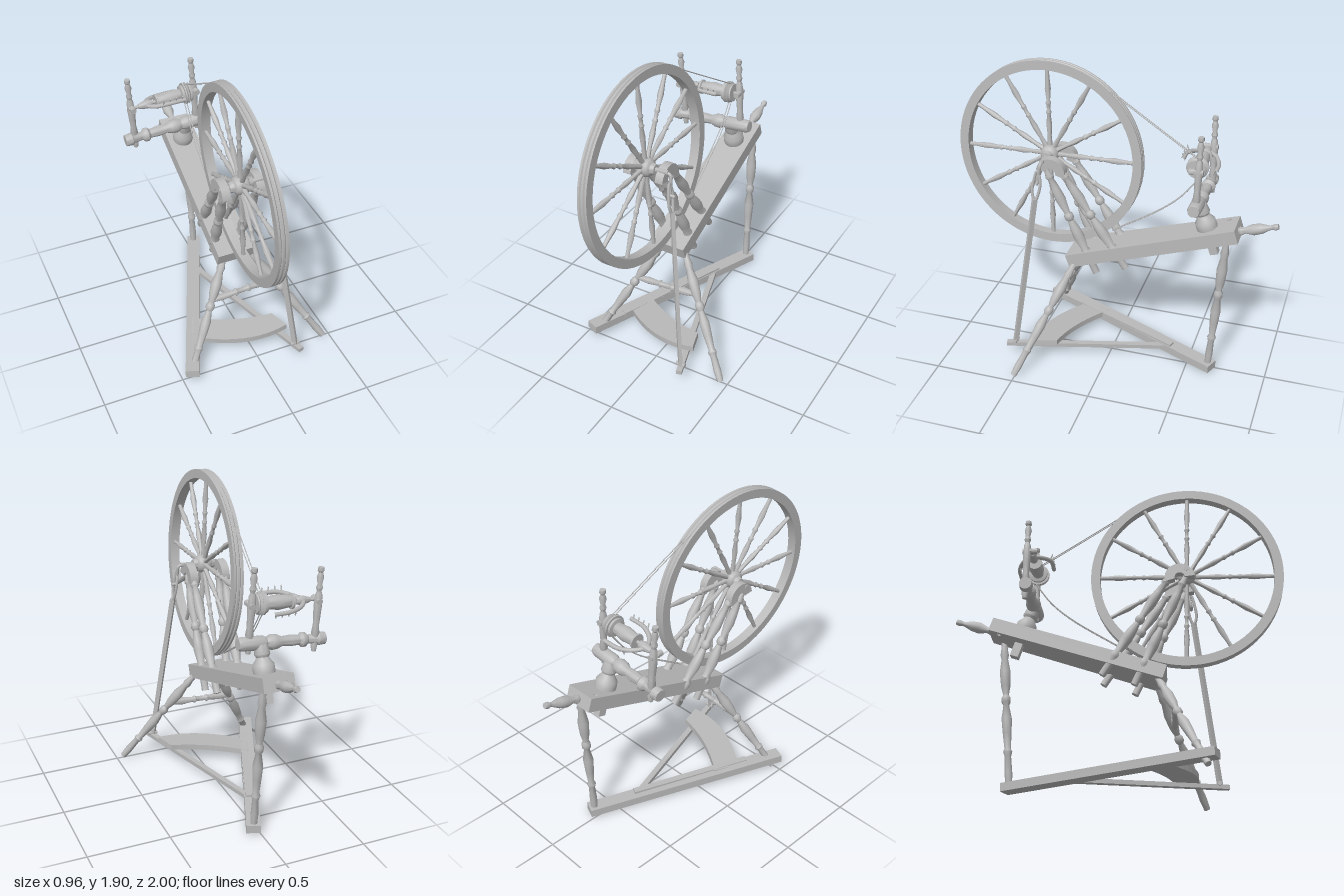
import * as THREE from 'three';
import { toCreasedNormals } from 'three/addons/utils/BufferGeometryUtils.js';

const wood = new THREE.MeshStandardMaterial({ color: 0xb9b9b9 });
wood.name = 'pale grey wood';
const V = (x, y, z) => new THREE.Vector3(x, y, z);
const UP = V(0, 1, 0);

// Turned profiles: [position along the length 0..1, radius]
const LEG = [[0, 0.018], [0.08, 0.02], [0.12, 0.026], [0.15, 0.02], [0.24, 0.033], [0.34, 0.028], [0.4, 0.017], [0.42, 0.027],
  [0.45, 0.027], [0.47, 0.017], [0.56, 0.031], [0.66, 0.026], [0.76, 0.019], [0.78, 0.027], [0.81, 0.019], [0.92, 0.023], [1, 0.019]];
const STRUT = [[0, 0.022], [0.12, 0.022], [0.17, 0.033], [0.2, 0.033], [0.23, 0.022], [0.34, 0.034], [0.42, 0.03], [0.5, 0.018],
  [0.52, 0.028], [0.55, 0.028], [0.57, 0.018], [0.7, 0.032], [0.8, 0.026], [0.88, 0.018], [0.9, 0.026], [0.94, 0.018], [1, 0.018]];
const SPOKE = [[0, 0.016], [0.15, 0.012], [0.3, 0.017], [0.42, 0.011], [0.45, 0.017], [0.48, 0.011], [0.54, 0.011],
  [0.57, 0.017], [0.6, 0.011], [0.75, 0.018], [0.9, 0.012], [1, 0.012]];
const MAIDEN = [[0, 0.014], [0.08, 0.02], [0.14, 0.012], [0.22, 0.024], [0.32, 0.018], [0.42, 0.021], [0.55, 0.024], [0.68, 0.02],
  [0.72, 0.013], [0.76, 0.02], [0.8, 0.013], [0.88, 0.021], [0.94, 0.012], [0.96, 0.019], [1, 0.017]];
const HANDLE = [[0, 0.016], [0.1, 0.026], [0.2, 0.018], [0.4, 0.034], [0.6, 0.03], [0.8, 0.014], [0.86, 0.014], [0.92, 0.02], [1, 0.016]];
const STRETCHER = [[0, 0.014], [0.2, 0.022], [0.36, 0.016], [0.4, 0.024], [0.43, 0.016], [0.57, 0.016], [0.6, 0.024], [0.64, 0.016], [0.8, 0.024], [1, 0.014]];
const CROSSBAR = [[0, 0.036], [0.08, 0.04], [0.1, 0.03], [0.2, 0.026], [0.23, 0.042], [0.27, 0.044], [0.3, 0.028], [0.4, 0.033], [0.5, 0.028],
  [0.56, 0.042], [0.62, 0.045], [0.68, 0.032], [0.72, 0.042], [0.96, 0.04], [1, 0.034]];
const PEDESTAL = [[0, 0.058], [0.2, 0.064], [0.4, 0.062], [0.55, 0.042], [0.62, 0.036], [0.7, 0.046], [1, 0.038]];

export function createModel() {
  const model = new THREE.Group();
  const add = (name, geo, parent = model) => {
    const m = new THREE.Mesh(geo, wood);
    m.name = name;
    parent.add(m);
    return m;
  };
  // Lathe part running from a to b
  const turned = (name, a, b, profile, parent = model, sides = 16) => {
    const len = a.distanceTo(b);
    const pts = [[0, 0], ...profile, [1, 0]].map(([t, r]) => new THREE.Vector2(r, t * len));
    const m = add(name, toCreasedNormals(new THREE.LatheGeometry(pts, sides), 0.75), parent);
    m.position.copy(a);
    m.quaternion.setFromUnitVectors(UP, b.clone().sub(a).normalize());
    return m;
  };
  const rod = (name, a, b, r, parent) => turned(name, a, b, [[0, r], [1, r]], parent, 12);
  // Rectangular bar running from a to b
  const bar = (name, a, b, w, h) => {
    const m = add(name, new THREE.BoxGeometry(w, h, a.distanceTo(b)));
    m.position.copy(a).lerp(b, 0.5);
    m.lookAt(b);
    return m;
  };
  const tube = (name, pts, r, closed = false, segs = 32) =>
    add(name, new THREE.TubeGeometry(new THREE.CatmullRomCurve3(pts, closed), segs, r, 8, closed));

  // Sloping bed, slightly narrower at the back, with a small hole
  const bedShape = new THREE.Shape([[-0.117, 0], [0.117, 0], [0.095, 1.09], [-0.095, 1.09]].map(p => new THREE.Vector2(...p)));
  bedShape.holes.push(new THREE.Path().absarc(-0.062, 1.03, 0.014, 0, Math.PI * 2, true));
  const bed = add('bed', new THREE.ExtrudeGeometry(bedShape, { depth: 0.085, bevelEnabled: false }));
  bed.position.set(-0.048, 0.61, 0.255);
  bed.rotation.x = -1.25;
  turned('bedHandle', V(-0.042, 0.985, -0.755), V(-0.04, 1.06, -0.995), HANDLE);

  // Legs and stretcher
  turned('frontLegLeft', V(0.04, 0.65, 0.22), V(0.455, 0, 0.505), LEG);
  turned('frontLegRight', V(-0.1, 0.65, 0.22), V(-0.44, 0, 0.49), LEG);
  turned('backLeg', V(0.02, 0.97, -0.71), V(0.03, 0.04, -0.64), LEG);
  turned('stretcher', V(-0.235, 0.4, 0.325), V(0.18, 0.425, 0.32), STRETCHER);

  // Foot beam, treadle and pivot
  bar('footBeam', V(0.045, 0.026, -0.67), V(-0.45, 0.058, 0.54), 0.085, 0.05);
  bar('treadlePivot', V(-0.055, 0.055, -0.385), V(-0.34, 0.066, 0.34), 0.04, 0.035);
  bar('treadleBar', V(-0.07, 0.042, -0.37), V(0.24, 0.07, 0.63), 0.035, 0.026);
  const plank = new THREE.Shape();
  plank.moveTo(-0.34, -0.26);
  plank.quadraticCurveTo(-0.05, -0.5, 0.23, -0.44);
  plank.lineTo(0.19, -0.31);
  plank.quadraticCurveTo(-0.05, -0.28, -0.28, -0.11);
  const treadle = add('treadle', new THREE.ExtrudeGeometry(plank, { depth: 0.035, bevelEnabled: false }).rotateX(-Math.PI / 2));
  treadle.position.y = 0.066;
  treadle.rotation.z = 0.08;

  // Drive wheel: rim, hub, axle and twelve spokes on a slightly tilted axis
  const wheel = new THREE.Group();
  wheel.name = 'driveWheel';
  wheel.position.set(-0.09, 1.303, 0.415);
  const axis = V(1, 0.055, 0.03).normalize();
  wheel.quaternion.setFromUnitVectors(UP, axis);
  model.add(wheel);
  const rimPts = [[0.53, -0.03], [0.585, -0.03], [0.585, -0.018], [0.577, -0.012], [0.585, -0.006], [0.585, 0.006],
    [0.577, 0.012], [0.585, 0.018], [0.585, 0.03], [0.53, 0.03], [0.53, -0.03]].map(p => new THREE.Vector2(...p));
  add('rim', toCreasedNormals(new THREE.LatheGeometry(rimPts, 80), 0.5), wheel);
  turned('hub', V(0, -0.07, 0), V(0, 0.07, 0), [[0, 0.028], [0.18, 0.034], [0.25, 0.05], [0.5, 0.06], [0.75, 0.05], [0.82, 0.034], [1, 0.028]], wheel, 24);
  rod('axle', V(0, -0.13, 0), V(0, 0.15, 0), 0.014, wheel);
  for (let i = 0; i < 12; i++) {
    const a = i * Math.PI / 6, d = V(Math.cos(a), 0, Math.sin(a));
    turned('spoke', d.clone().multiplyScalar(0.04), d.clone().multiplyScalar(0.535), SPOKE, wheel, 12);
  }

  // Wheel supports: two struts each side under a curved axle saddle
  for (const [side, top, bottom] of [['Right', -0.19, -0.125], ['Left', 0.02, 0.032]]) {
    turned('frontStrut' + side, V(bottom, 0.585, 0.09), V(top, 1.27, 0.415), STRUT);
    turned('rearStrut' + side, V(bottom, 0.65, -0.1), V(top, 1.28, 0.325), STRUT);
    const arc = new THREE.Shape();
    arc.absarc(0, 0, 0.09, -0.1, Math.PI + 0.1, false);
    arc.absarc(0, 0, 0.03, Math.PI + 0.1, -0.1, true);
    const saddle = add('axleSaddle' + side, new THREE.ExtrudeGeometry(arc, { depth: 0.05, bevelEnabled: false, curveSegments: 16 })
      .translate(0, 0, -0.025).rotateZ(-0.2).rotateY(Math.PI / 2));
    saddle.position.set(top, 1.24, 0.37);
  }

  // Crank and footman
  tube('crank', [V(0.05, 1.311, 0.42), V(0.075, 1.3, 0.42), V(0.08, 1.24, 0.43), V(0.085, 1.185, 0.44), V(0.115, 1.18, 0.44)], 0.01);
  bar('footman', V(0.22, 0.08, 0.577), V(0.103, 1.08, 0.452), 0.022, 0.03);
  tube('footmanFork', [V(0.103, 1.07, 0.452), V(0.095, 1.12, 0.47), V(0.085, 1.2, 0.46), V(0.078, 1.26, 0.44),
    V(0.085, 1.2, 0.42), V(0.095, 1.12, 0.43)], 0.009, true, 48);
  rod('footmanPin', V(0.19, 0.085, 0.575), V(0.25, 0.085, 0.575), 0.012);

  // Pedestal, tenon, crossbar and maidens carrying the flyer
  turned('pedestal', V(-0.05, 0.95, -0.585), V(-0.05, 1.13, -0.525), PEDESTAL, model, 24);
  bar('pedestalTenon', V(-0.05, 0.98, -0.575), V(-0.05, 0.81, -0.63), 0.05, 0.05);
  turned('crossbar', V(-0.45, 1.1, -0.52), V(0.088, 1.145, -0.515), CROSSBAR, model, 24);
  turned('maidenRight', V(-0.38, 1.035, -0.53), V(-0.415, 1.53, -0.52), MAIDEN);
  turned('maidenLeft', V(0.025, 1.08, -0.515), V(-0.005, 1.58, -0.525), MAIDEN);

  // Flyer: spindle, bobbin with flanges, whorls, arms and hooks
  const at = x => V(x, 1.365 + 0.07 * x, -0.5);
  rod('spindle', at(-0.42), at(0.03), 0.01);
  turned('bobbin', at(-0.25), at(-0.07), [[0, 0.045], [0.06, 0.045], [0.08, 0.034], [0.5, 0.044], [0.9, 0.034], [0.92, 0.055], [1, 0.055]], model, 24);
  turned('whorl', at(-0.068), at(-0.02), [[0, 0.066], [0.2, 0.066], [0.35, 0.052], [0.5, 0.066], [0.7, 0.05], [0.85, 0.058], [1, 0.055]], model, 24);
  turned('flyerCollar', at(-0.36), at(-0.27), [[0, 0.014], [0.4, 0.024], [0.7, 0.028], [1, 0.02]]);
  tube('flyerArms', [V(-0.09, 1.325, -0.6), V(-0.2, 1.325, -0.595), V(-0.28, 1.335, -0.56), V(-0.315, 1.343, -0.5),
    V(-0.28, 1.355, -0.44), V(-0.2, 1.375, -0.405), V(-0.09, 1.38, -0.402)], 0.013);
  for (const x of [-0.11, -0.15, -0.19, -0.23]) {
    rod('flyerHook', V(x, 1.375, -0.408), V(x, 1.41, -0.395), 0.004);
    rod('flyerHook', V(x, 1.33, -0.592), V(x, 1.295, -0.58), 0.004);
  }
  for (const [x, y] of [[-0.4, 1.335], [0.012, 1.365]]) rod('spindleBearing', V(x, y, -0.55), V(x, y, -0.465), 0.018);

  // Drive band, one straight upper run and one sagging lower run
  for (const dx of [-0.008, 0.008]) {
    tube('driveBandUpper', [V(-0.103 + dx, 1.745, 0.035), V(-0.075 + dx, 1.578, -0.24), V(-0.05 + dx, 1.412, -0.515)], 0.003);
    tube('driveBandLower', [V(-0.054 + dx, 0.855, 0.01), V(-0.053 + dx, 1.045, -0.28), V(-0.05 + dx, 1.16, -0.41), V(-0.05 + dx, 1.3, -0.515)], 0.003);
  }
  return model;
}
